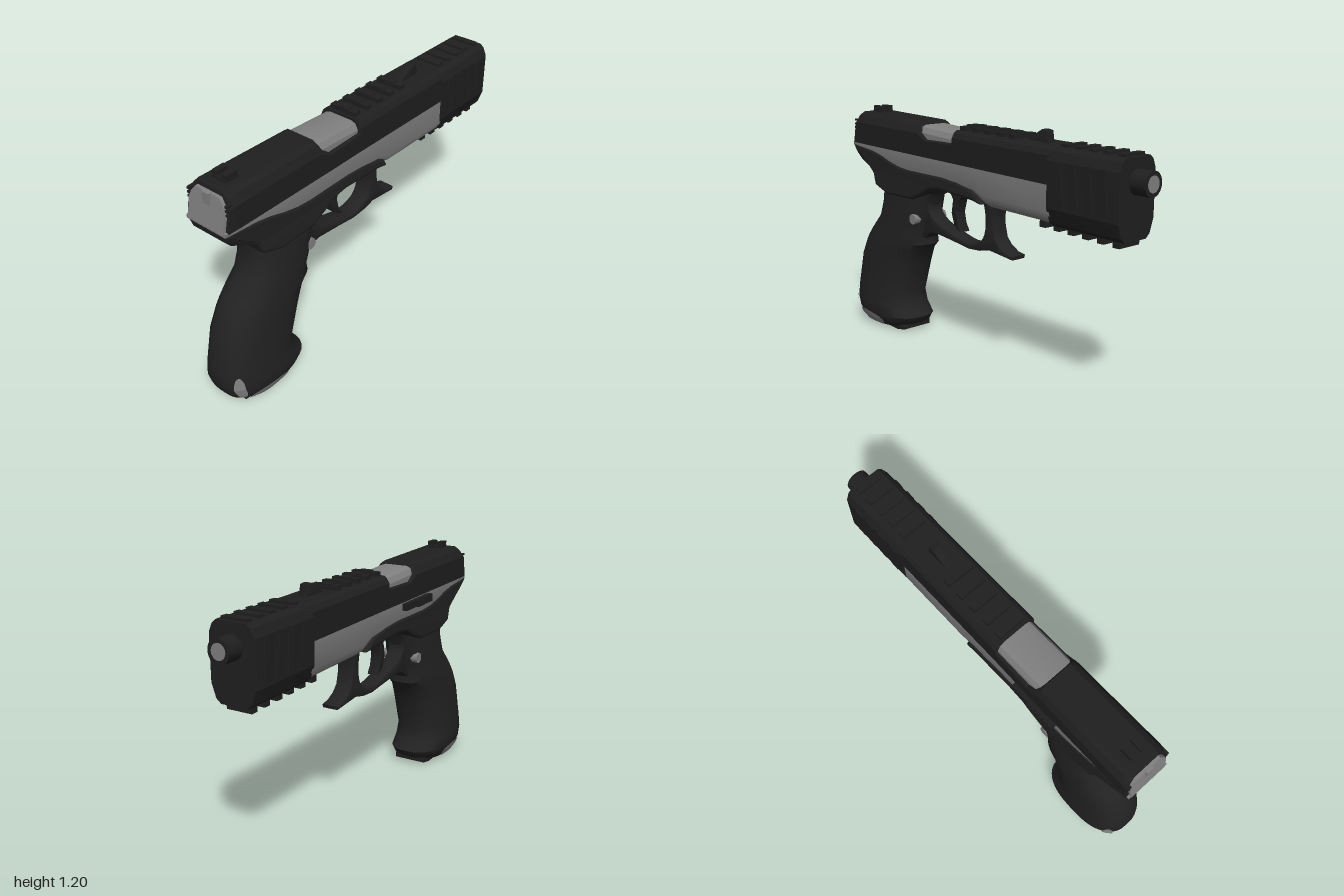
import * as THREE from 'three';
import { toCreasedNormals } from 'three/addons/utils/BufferGeometryUtils.js';

const mat = (name, color) => {
  const m = new THREE.MeshStandardMaterial({ color });
  m.name = name;
  return m;
};

// Skin a list of equal-length closed loops of [x, y, z], with end caps
function loft(loops, crease = 0.5) {
  const n = loops[0].length, pos = [], idx = [];
  loops.forEach(l => l.forEach(p => pos.push(...p)));
  for (let i = 0; i < loops.length - 1; i++) {
    for (let j = 0; j < n; j++) {
      const a = i * n + j, b = i * n + (j + 1) % n;
      idx.push(a, b, b + n, a, b + n, a + n);
    }
  }
  [0, loops.length - 1].forEach((i, end) => {
    const c = [0, 1, 2].map(k => loops[i].reduce((s, p) => s + p[k], 0) / n);
    const ci = pos.length / 3;
    pos.push(...c);
    for (let j = 0; j < n; j++) {
      const a = i * n + j, b = i * n + (j + 1) % n;
      idx.push(ci, end ? a : b, end ? b : a);
    }
  });
  const g = new THREE.BufferGeometry();
  g.setAttribute('position', new THREE.Float32BufferAttribute(pos, 3));
  g.setIndex(idx);
  return toCreasedNormals(g, crease);
}

// Mirrored cross-section at z: half outline from bottom to top, optional rake of the end
const section = (z, half, rake = 0) => {
  const zAt = y => z - (y - 1) * rake;
  const right = half.map(([x, y]) => [x, y, zAt(y)]);
  const left = half.slice().reverse().map(([x, y]) => [-x, y, zAt(y)]);
  return [...right, ...left];
};

// Extrude a side outline given in (z, y) across x, centred
function sideExtrude(shape, halfWidth, bevel) {
  const g = new THREE.ExtrudeGeometry(shape, {
    depth: 2 * (halfWidth - bevel), bevelEnabled: true, bevelSize: bevel,
    bevelThickness: bevel, bevelOffset: -bevel, bevelSegments: 2, curveSegments: 8,
  });
  g.translate(0, 0, bevel - halfWidth);
  g.rotateY(-Math.PI / 2);
  return toCreasedNormals(g, 0.6);
}
const outline = pts => new THREE.Shape(pts.map(p => new THREE.Vector2(...p)));

// Grip sections: y, front z, back z, half width
const GRIP = [
  [0.02, 0.58, 0.92, 0.125], [0.045, 0.53, 0.965, 0.138], [0.08, 0.51, 0.985, 0.15],
  [0.13, 0.555, 1.0, 0.148], [0.2, 0.57, 0.995, 0.14], [0.38, 0.505, 0.96, 0.134],
  [0.465, 0.47, 0.92, 0.13], [0.5, 0.432, 0.9, 0.128], [0.54, 0.44, 0.865, 0.125],
  [0.62, 0.41, 0.79, 0.12], [0.7, 0.39, 0.765, 0.115], [0.8, 0.36, 0.755, 0.11],
  [0.86, 0.31, 0.79, 0.1],
];
function gripPoint(y, angle, grow = 1) {
  let i = 0;
  while (i < GRIP.length - 2 && y > GRIP[i + 1][0]) i++;
  const a = GRIP[i], b = GRIP[i + 1], t = (y - a[0]) / (b[0] - a[0]);
  const [zf, zb, w] = [1, 2, 3].map(k => a[k] + (b[k] - a[k]) * t);
  const p = v => Math.sign(v) * Math.abs(v) ** (2 / 2.6);
  return [grow * w * p(Math.sin(angle)), y, (zf + zb) / 2 + grow * (zb - zf) / 2 * p(Math.cos(angle))];
}

// Oval inlay lying on the grip surface
function gripInlay(y0, a0, ry, ra) {
  const rings = 8, segs = 28, pos = [], idx = [];
  for (let r = 0; r <= rings; r++) {
    for (let s = 0; s <= segs; s++) {
      const f = r / rings, t = s / segs * Math.PI * 2;
      pos.push(...gripPoint(Math.max(0.021, y0 + ry * f * Math.sin(t)), a0 + ra * f * Math.cos(t), 1.035));
      if (r < rings && s < segs) {
        const a = r * (segs + 1) + s, b = a + segs + 1;
        idx.push(a, b, b + 1, a, b + 1, a + 1);
      }
    }
  }
  const g = new THREE.BufferGeometry();
  g.setAttribute('position', new THREE.Float32BufferAttribute(pos, 3));
  g.setIndex(idx);
  g.computeVertexNormals();
  return g;
}

export function createModel() {
  const black = mat('blackened steel', 0x1f1f1f);
  const polymer = mat('dark polymer', 0x222222);
  const steel = mat('grey steel', 0x808080);
  const root = new THREE.Group();
  const add = (name, geo, m, x = 0, y = 0, z = 0) => {
    const mesh = new THREE.Mesh(geo, m);
    mesh.name = name;
    mesh.position.set(x, y, z);
    root.add(mesh);
    return mesh;
  };
  const box = (name, w, h, d, m, x, y, z) => add(name, new THREE.BoxGeometry(w, h, d), m, x, y, z);
  const seam = z => 0.97 + 0.036 * z;

  // Slide with the ejection port cut as a dip
  const slideCut = (z, top, w, ch, rake) => section(z, [
    [w, seam(z)], [w, top - ch * 1.2], [w - ch * 0.45, top - ch * 0.4], [w - ch, top]], rake);
  add('slide', loft([
    slideCut(-0.53, 1.114, 0.112, 0.03), slideCut(0.115, 1.132, 0.114, 0.03),
    slideCut(0.12, 1.07, 0.114, 0.006), slideCut(0.32, 1.07, 0.117, 0.006),
    slideCut(0.36, 1.1, 0.117, 0.015), slideCut(0.385, 1.152, 0.117, 0.045),
    slideCut(0.88, 1.172, 0.12, 0.048), slideCut(0.94, 1.168, 0.118, 0.05, 0.2),
  ], 0.4), black);

  // Chamber seen through the port
  const chamber = (z, top) => section(z, [[0.1, 1.03], [0.1, top - 0.035], [0.085, top - 0.008], [0.06, top]]);
  add('chamber', loft([chamber(0.1, 1.118), chamber(0.39, 1.138)]), steel);

  // Rear plate, its tab and the ribs beside it
  const plate = z => section(z, [[0.1, 1.0], [0.102, 1.09], [0.088, 1.125], [0.068, 1.15]], 0.2);
  add('rearPlate', loft([plate(0.9), plate(0.955)]), steel);
  box('rearTab', 0.04, 0.055, 0.02, steel, 0, 1.125, 0.927);
  for (const s of [-1, 1]) {
    for (let i = 0; i < 3; i++) box('rearRib', 0.014, 0.01, 0.03, black, s * 0.107, 1.085 + i * 0.02, 0.917);
    box('rearSightPost', 0.026, 0.045, 0.06, black, s * 0.027, 1.18, 0.825);
  }
  box('rearSightBase', 0.08, 0.015, 0.07, black, 0, 1.173, 0.825);

  // Front sight and the toothed top rail
  add('frontSight', sideExtrude(outline([[-0.29, 1.11], [-0.35, 1.15], [-0.395, 1.175],
    [-0.425, 1.17], [-0.435, 1.11]]), 0.022, 0.004), black);
  for (let i = 0; i < 5; i++) {
    const z = 0.085 - i * 0.084;
    box('railTooth', 0.14, 0.04, 0.036, black, 0, 1.13 + 0.026 * z, z);
    box('railToothCap', 0.06, 0.01, 0.036, black, 0, 1.15 + 0.026 * z, z);
  }

  // Grey frame
  const frameCut = (z, yb, w, ch) => section(z, [
    [w - ch, yb], [w - ch * 0.3, yb + ch * 0.5], [w, yb + ch * 1.2], [w, seam(z) + 0.003]]);
  add('frame', loft([
    frameCut(-0.53, 0.775, 0.112, 0.045), frameCut(-0.11, 0.79, 0.113, 0.045),
    frameCut(-0.03, 0.84, 0.113, 0.03), frameCut(0.45, 0.865, 0.113, 0.02),
    frameCut(0.78, 0.935, 0.113, 0.01), frameCut(0.952, 0.988, 0.112, 0.004)]), steel);

  // Polymer receiver with rear tang, narrowed toward the back
  const body = sideExtrude(outline([
    [0.95, 0.993], [0.78, 0.976], [0.7, 0.958], [0.62, 0.932], [0.54, 0.913], [0.46, 0.905],
    [0.2, 0.9], [0.08, 0.888], [-0.02, 0.865], [-0.065, 0.84], [-0.085, 0.8], [-0.02, 0.812],
    [0.22, 0.83], [0.3, 0.82], [0.365, 0.785], [0.45, 0.75], [0.65, 0.75], [0.757, 0.79],
    [0.78, 0.85], [0.83, 0.88], [0.905, 0.91], [0.94, 0.95]]), 0.118, 0.014);
  const bp = body.attributes.position;
  for (let i = 0; i < bp.count; i++) {
    const t = Math.max(0, bp.getZ(i) - 0.75) / 0.2, low = Math.max(0, 0.99 - bp.getY(i)) / 0.1;
    bp.setX(i, bp.getX(i) * (1 - 0.3 * t * Math.min(1, low)));
  }
  body.computeVertexNormals();
  add('receiver', body, polymer);

  // Grip
  const loops = GRIP.map(([y]) => Array.from({ length: 40 }, (_, i) => gripPoint(y, i / 40 * Math.PI * 2)));
  add('grip', loft(loops, 0.7), polymer);
  add('basePlate', sideExtrude(outline([[0.56, 0.012], [0.62, 0], [0.915, 0.016], [0.915, 0.04], [0.56, 0.04]]),
    0.09, 0.004), black);
  for (const s of [-1, 1]) {
    add('heelInlay', gripInlay(0.13, s * 0.7, 0.07, 0.17), steel);
    add('baseInlay', gripInlay(0.03, s * 1.3, 0.052, 0.5), steel);
    const pin = add('gripButton', new THREE.CylinderGeometry(0.028, 0.028, 0.05, 8), steel, s * 0.078, 0.645, 0.45);
    pin.rotation.z = Math.PI / 2;
  }

  // Trigger guard with hooked front
  const guard = outline([
    [0.5, 0.82], [0.5, 0.54], [0.425, 0.54], [0.38, 0.575], [0.33, 0.58], [0.195, 0.563], [0.08, 0.546],
    [0, 0.55], [-0.07, 0.565], [-0.15, 0.555], [-0.23, 0.545], [-0.235, 0.563], [-0.19, 0.572],
    [-0.145, 0.597], [-0.115, 0.63], [-0.098, 0.7], [-0.102, 0.76], [-0.115, 0.8], [-0.07, 0.84], [0.2, 0.87]]);
  const hole = [[0.385, 0.73], [0.36, 0.785], [0.3, 0.818], [0.22, 0.83], [0.08, 0.825], [-0.015, 0.812],
    [-0.04, 0.76], [-0.043, 0.66], [-0.01, 0.602], [0.08, 0.576], [0.195, 0.598], [0.33, 0.645], [0.378, 0.685]];
  const curve = new THREE.CatmullRomCurve3(hole.map(([z, y]) => new THREE.Vector3(z, y, 0)), true);
  guard.holes.push(new THREE.Path(curve.getPoints(48).slice(0, -1).map(p => new THREE.Vector2(p.x, p.y))));
  add('triggerGuard', sideExtrude(guard, 0.045, 0.008), polymer);

  add('trigger', sideExtrude(outline([[0.24, 0.85], [0.238, 0.81], [0.212, 0.775], [0.224, 0.705],
    [0.205, 0.645], [0.175, 0.622], [0.15, 0.615], [0.172, 0.655], [0.184, 0.71], [0.165, 0.775],
    [0.125, 0.815], [0.125, 0.85]]), 0.03, 0.006), black);

  // Slide release on the right side
  const lever = new THREE.Group();
  lever.name = 'slideRelease';
  const bar = new THREE.Mesh(new THREE.BoxGeometry(0.03, 0.035, 0.26), black);
  bar.name = 'releaseBar';
  lever.add(bar);
  for (let i = 0; i < 6; i++) {
    const rib = new THREE.Mesh(new THREE.BoxGeometry(0.016, 0.04, 0.014), black);
    rib.name = 'releaseRib';
    rib.position.set(-0.016, 0, 0.115 - i * 0.026);
    lever.add(rib);
  }
  lever.position.set(-0.122, 0.96, 0.38);
  lever.rotation.x = -0.036;
  root.add(lever);

  // Muzzle block with slats, teeth above and below
  const block = (z, d, k) => section(z, [[0.07 * k, 0.765 + d], [0.095 * k, 0.785 + d], [0.118 * k, 0.85 + d],
    [0.118 * k, 1.06 + d], [0.1 * k, 1.1 + d], [0.08 * k, 1.116 + d]]);
  add('muzzleBlock', loft([block(-0.918, -0.01, 0.97), block(-0.905, -0.01, 1), block(-0.52, 0, 1)], 0.3), black);
  for (const s of [-1, 1]) {
    for (let i = 0; i < 4; i++) {
      const slat = box('muzzleSlat', 0.008, 0.2, 0.05, black, s * 0.118, 0.955, -0.585 - i * 0.082);
      slat.rotation.x = 0.1;
    }
  }
  for (let i = 0; i < 5; i++) box('blockTopTooth', 0.13, 0.03, 0.034, black, 0, 1.112 - i * 0.002, -0.57 - i * 0.078);
  for (let i = 0; i < 6; i++) box('blockLowerTooth', 0.13, 0.04, 0.036, black, 0, 0.766 - i * 0.004, -0.45 - i * 0.084);

  // Barrel tip and bore
  add('barrel', new THREE.CylinderGeometry(0.055, 0.055, 0.11, 28).rotateX(Math.PI / 2), black, 0, 1.002, -0.943);
  add('bore', new THREE.CylinderGeometry(0.036, 0.036, 0.01, 24).rotateX(Math.PI / 2), steel, 0, 1.002, -0.995);
  return root;
}
